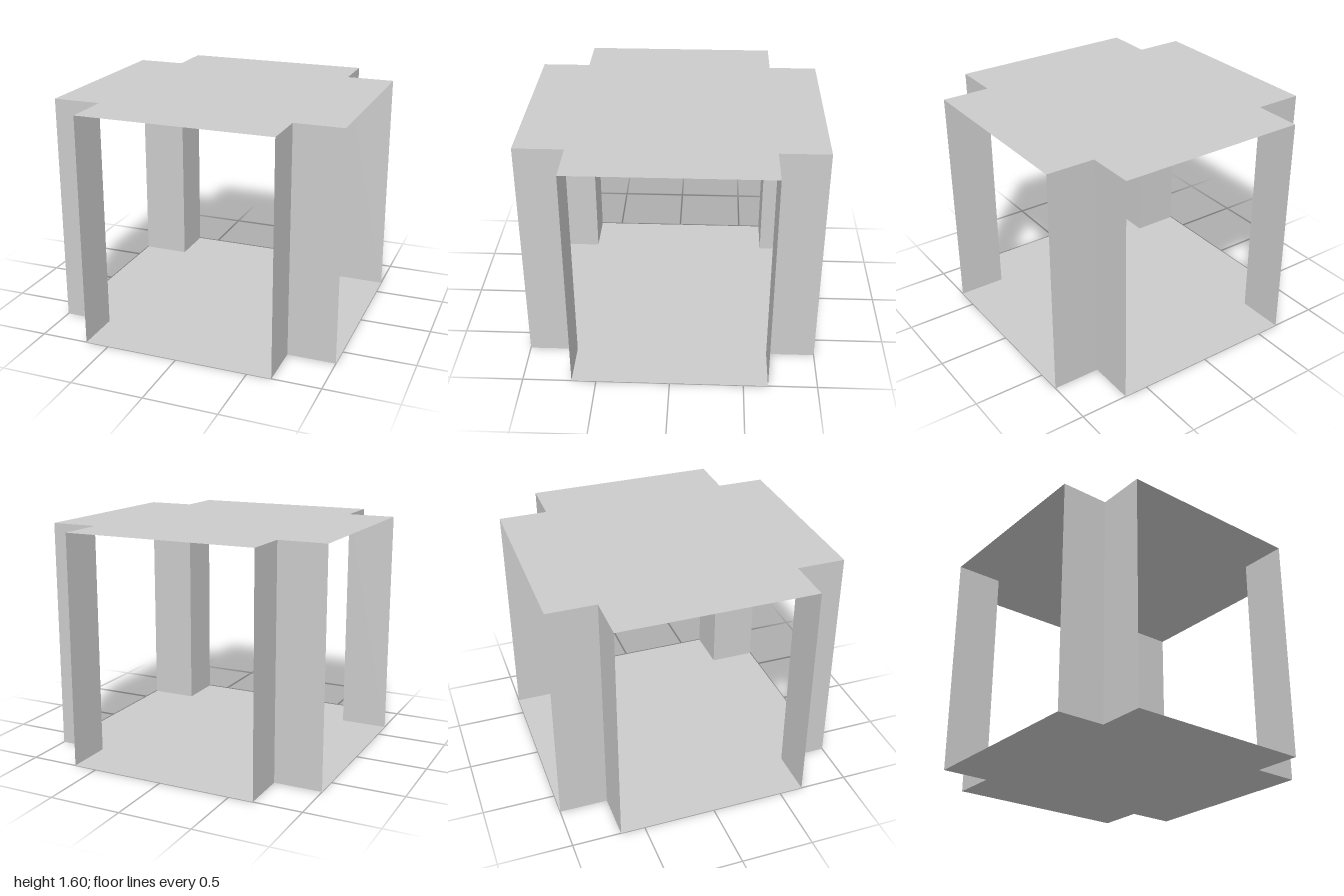
import * as THREE from 'three';

const OUTER = 1, INNER = 2 / 3, HEIGHT = 1.6;

export function createModel() {
  const model = new THREE.Group();
  model.name = 'openFrame';
  const material = new THREE.MeshStandardMaterial({
    color: 0xcccccc, flatShading: true, side: THREE.DoubleSide,
  });

  // Square plate with a notch cut from each corner
  const outline = [];
  for (let i = 0; i < 4; i++) {
    for (const [x, y] of [[OUTER, -INNER], [OUTER, INNER], [INNER, INNER]]) {
      outline.push(new THREE.Vector2(x, y).rotateAround(new THREE.Vector2(), i * Math.PI / 2));
    }
  }
  const plateGeometry = new THREE.ShapeGeometry(new THREE.Shape(outline)).rotateX(-Math.PI / 2);
  for (const [name, y] of [['bottomPlate', 0], ['topPlate', HEIGHT]]) {
    const plate = new THREE.Mesh(plateGeometry, material);
    plate.name = name;
    plate.position.y = y;
    model.add(plate);
  }

  // Angled corner post: two thin walls meeting at the notch's inner corner
  const wallGeometry = new THREE.PlaneGeometry(OUTER - INNER, HEIGHT);
  const middle = (OUTER + INNER) / 2;
  const names = ['frontLeftPost', 'backLeftPost', 'backRightPost', 'frontRightPost'];
  names.forEach((name, i) => {
    const post = new THREE.Group();
    post.name = name;
    const sideWall = new THREE.Mesh(wallGeometry, material);
    sideWall.name = 'sideWall';
    sideWall.position.set(middle, HEIGHT / 2, INNER);
    const endWall = new THREE.Mesh(wallGeometry, material);
    endWall.name = 'endWall';
    endWall.position.set(INNER, HEIGHT / 2, middle);
    endWall.rotation.y = Math.PI / 2;
    post.add(sideWall, endWall);
    post.rotation.y = i * Math.PI / 2;
    model.add(post);
  });

  return model;
}
